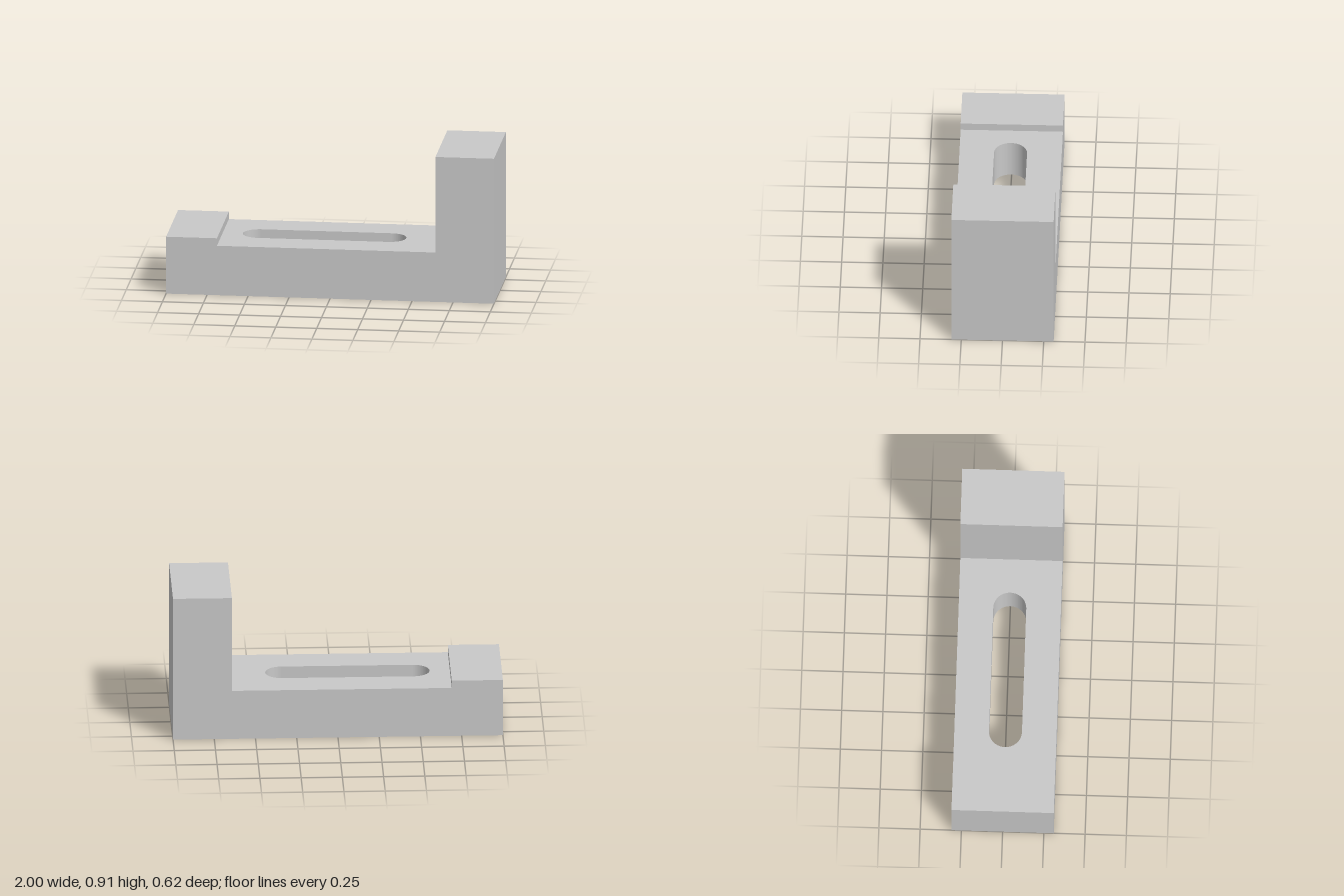
import * as THREE from 'three';

const HALF_DEPTH = 0.31;
const BASE_TOP = 0.31;
const STEP_X = -0.69; // inner edge of the low pad
const WALL_X = 0.643; // inner face of the tall jaw
const RECESS = 0.07; // depth of the wider slot underneath

const SLOT_X = -0.069;
const SLOT_HALF = 0.398; // slot centre to each round end's centre

// Stadium-shaped outline for a slot of the given radius
function slotPath(radius) {
  const path = new THREE.Path();
  path.absarc(SLOT_X + SLOT_HALF, 0, radius, -Math.PI / 2, Math.PI / 2, false);
  path.absarc(SLOT_X - SLOT_HALF, 0, radius, Math.PI / 2, Math.PI * 1.5, false);
  path.closePath();
  return path;
}

// Horizontal slab between the two ends, pierced by a slot
function slottedSlab(name, bottom, top, radius, material) {
  const shape = new THREE.Shape([
    new THREE.Vector2(STEP_X, -HALF_DEPTH),
    new THREE.Vector2(WALL_X, -HALF_DEPTH),
    new THREE.Vector2(WALL_X, HALF_DEPTH),
    new THREE.Vector2(STEP_X, HALF_DEPTH),
  ]);
  shape.holes.push(slotPath(radius));
  const geometry = new THREE.ExtrudeGeometry(shape, {
    depth: top - bottom, bevelEnabled: false, curveSegments: 32,
  });
  geometry.rotateX(-Math.PI / 2);
  geometry.translate(0, bottom, 0);
  const mesh = new THREE.Mesh(geometry, material);
  mesh.name = name;
  return mesh;
}

// Solid end block standing on the ground
function endBlock(name, x0, x1, height, material) {
  const mesh = new THREE.Mesh(new THREE.BoxGeometry(x1 - x0, height, HALF_DEPTH * 2), material);
  mesh.position.set((x0 + x1) / 2, height / 2, 0);
  mesh.name = name;
  return mesh;
}

export function createModel() {
  const grey = new THREE.MeshStandardMaterial({ color: 0xc8c8c8 });
  grey.name = 'light grey metal';

  const group = new THREE.Group();
  group.name = 'slottedClampBlock';
  group.add(
    endBlock('lowPad', -1, STEP_X, 0.357, grey),
    endBlock('tallJaw', WALL_X, 1, 0.91, grey),
    slottedSlab('recessedUnderside', 0, RECESS, 0.2, grey),
    slottedSlab('slottedBase', RECESS, BASE_TOP, 0.1, grey),
  );
  return group;
}
